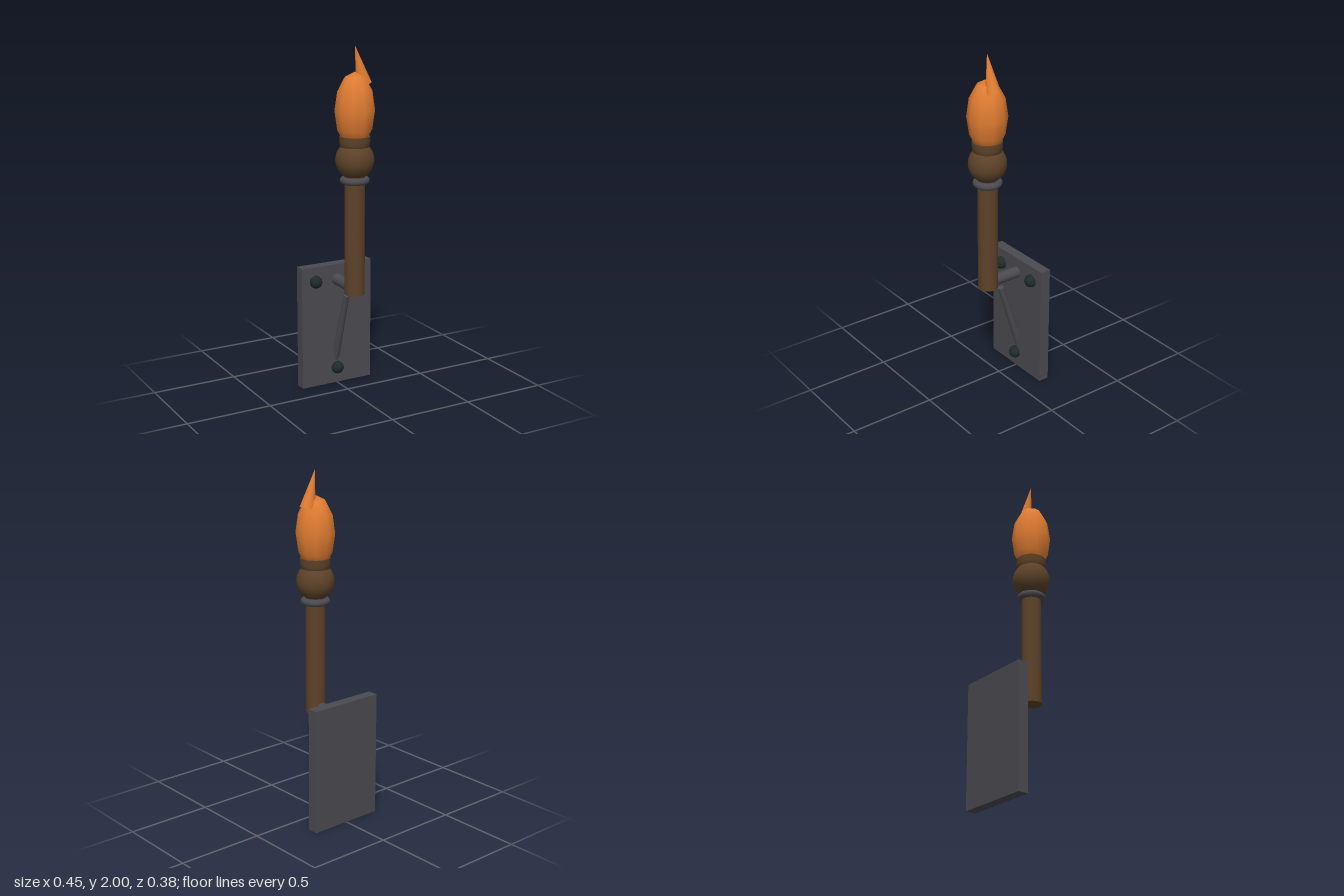
import * as THREE from 'three';

const material = (name, color) => {
  const m = new THREE.MeshStandardMaterial({ color });
  m.name = name;
  return m;
};

export function createModel() {
  const iron = material('iron', 0x4a4a50);
  const darkIron = material('dark iron', 0x1f2a2a);
  const wood = material('wood', 0x5c4228);
  const fire = material('fire', 0xe07c32);

  const model = new THREE.Group();
  model.name = 'wallTorch';
  const add = (parent, name, geometry, mat, x, y, z) => {
    const mesh = new THREE.Mesh(geometry, mat);
    mesh.name = name;
    mesh.position.set(x, y, z);
    parent.add(mesh);
    return mesh;
  };

  // Wall bracket: plate, studs, arm and slanted brace
  const bracket = new THREE.Group();
  bracket.name = 'bracket';
  model.add(bracket);
  add(bracket, 'wallPlate', new THREE.BoxGeometry(0.452, 0.726, 0.063), iron, 0, 0.363, -0.1605);
  for (const [name, x, y] of [['leftStud', 0.14, 0.64], ['rightStud', -0.14, 0.64], ['lowerStud', 0, 0.095]]) {
    add(bracket, name, new THREE.SphereGeometry(0.037, 20, 14), darkIron, x, y, -0.122);
  }
  const arm = add(bracket, 'arm', new THREE.CylinderGeometry(0.033, 0.033, 0.21, 20), iron, 0, 0.636, -0.04);
  arm.rotation.x = Math.PI / 2;

  const tilt = 0.314;
  const braceLength = 0.47;
  const brace = add(bracket, 'brace', new THREE.CylinderGeometry(0.017, 0.024, braceLength, 16), iron,
    0, 0.57 - Math.cos(tilt) * braceLength / 2, -0.013 - Math.sin(tilt) * braceLength / 2);
  brace.rotation.x = tilt;

  // Torch, standing on its own axis in front of the plate
  const torch = new THREE.Group();
  torch.name = 'torch';
  torch.position.z = 0.078;
  model.add(torch);
  add(torch, 'shaft', new THREE.CylinderGeometry(0.057, 0.057, 0.7, 24), wood, 0, 0.955, 0);
  const collar = add(torch, 'collar', new THREE.TorusGeometry(0.063, 0.02, 12, 32), iron, 0, 1.261, 0);
  collar.rotation.x = Math.PI / 2;
  add(torch, 'knob', new THREE.SphereGeometry(0.108, 24, 16), wood, 0, 1.375, 0);
  const cupProfile = [[0.07, 1.43], [0.081, 1.455], [0.085, 1.475], [0.085, 1.507]];
  add(torch, 'cup', new THREE.LatheGeometry(cupProfile.map(p => new THREE.Vector2(...p)), 24), wood, 0, 0, 0);
  const rim = add(torch, 'cupTop', new THREE.CircleGeometry(0.085, 24), wood, 0, 1.507, 0);
  rim.rotation.x = -Math.PI / 2;

  // Coarse ten-sided flame with a leaning tongue
  const flame = add(torch, 'flame', new THREE.SphereGeometry(0.113, 10, 6), fire, 0, 1.648, 0);
  flame.scale.y = 0.21 / 0.113;
  flame.rotation.y = Math.PI / 2;
  const tongue = add(torch, 'flameTongue', new THREE.ConeGeometry(0.044, 0.217, 16), fire, 0.0275, 1.895, 0);
  tongue.rotation.z = 0.257;

  return model;
}
